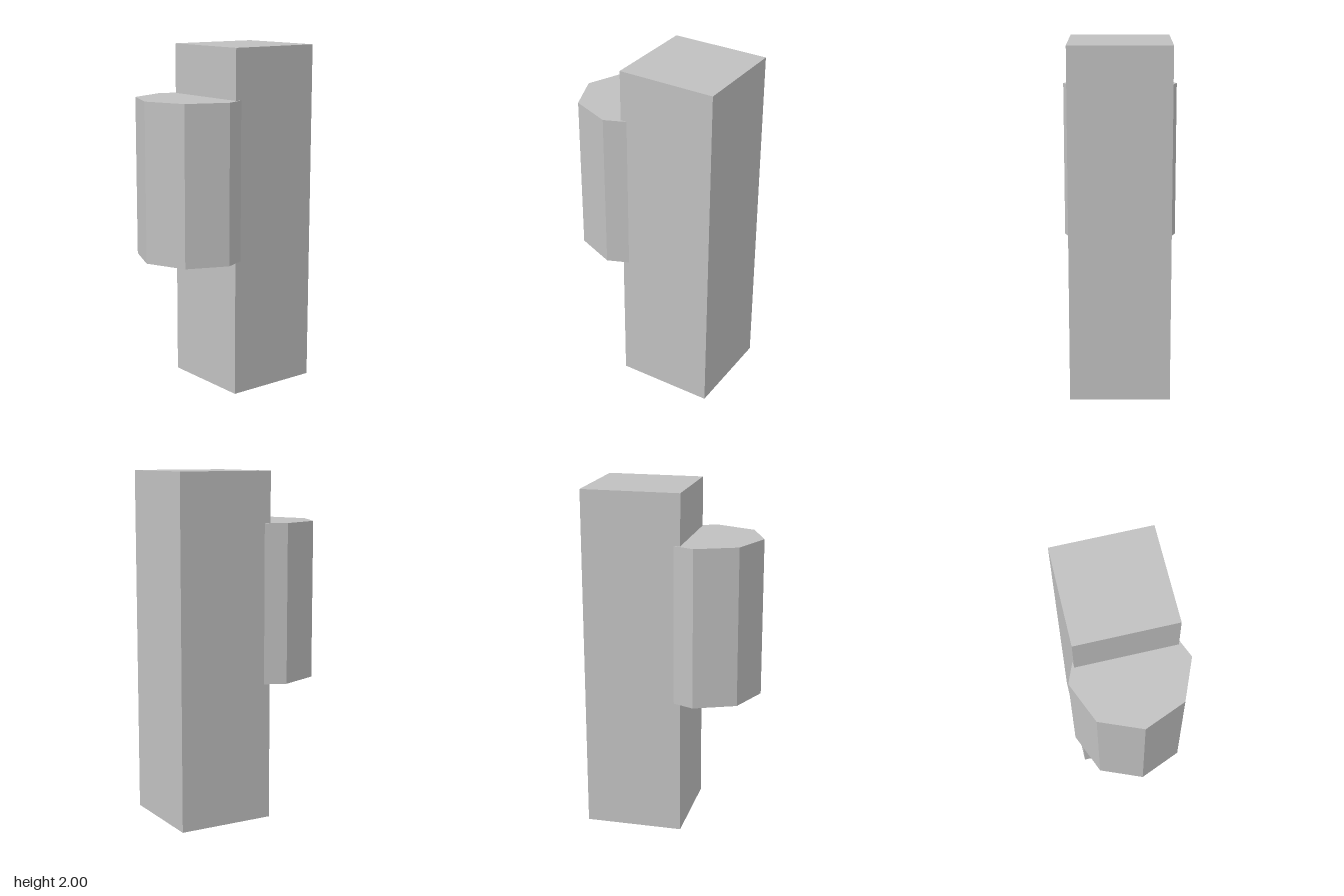
import * as THREE from 'three';

export function createModel() {
  const group = new THREE.Group();
  const grey = new THREE.MeshStandardMaterial({ color: 0xc0c0c0, flatShading: true });
  grey.name = 'light grey';

  const add = (name, geometry, y, z) => {
    const mesh = new THREE.Mesh(geometry, grey);
    mesh.name = name;
    mesh.position.set(0, y, z);
    group.add(mesh);
  };

  // Tall square column at the back
  add('column', new THREE.BoxGeometry(0.566, 2, 0.566), 1, -0.208);

  // Octagonal drum sunk into the column's front, one corner facing forward
  add('drum', new THREE.CylinderGeometry(0.333, 0.333, 0.917, 8), 1.252, 0.158);

  return group;
}
